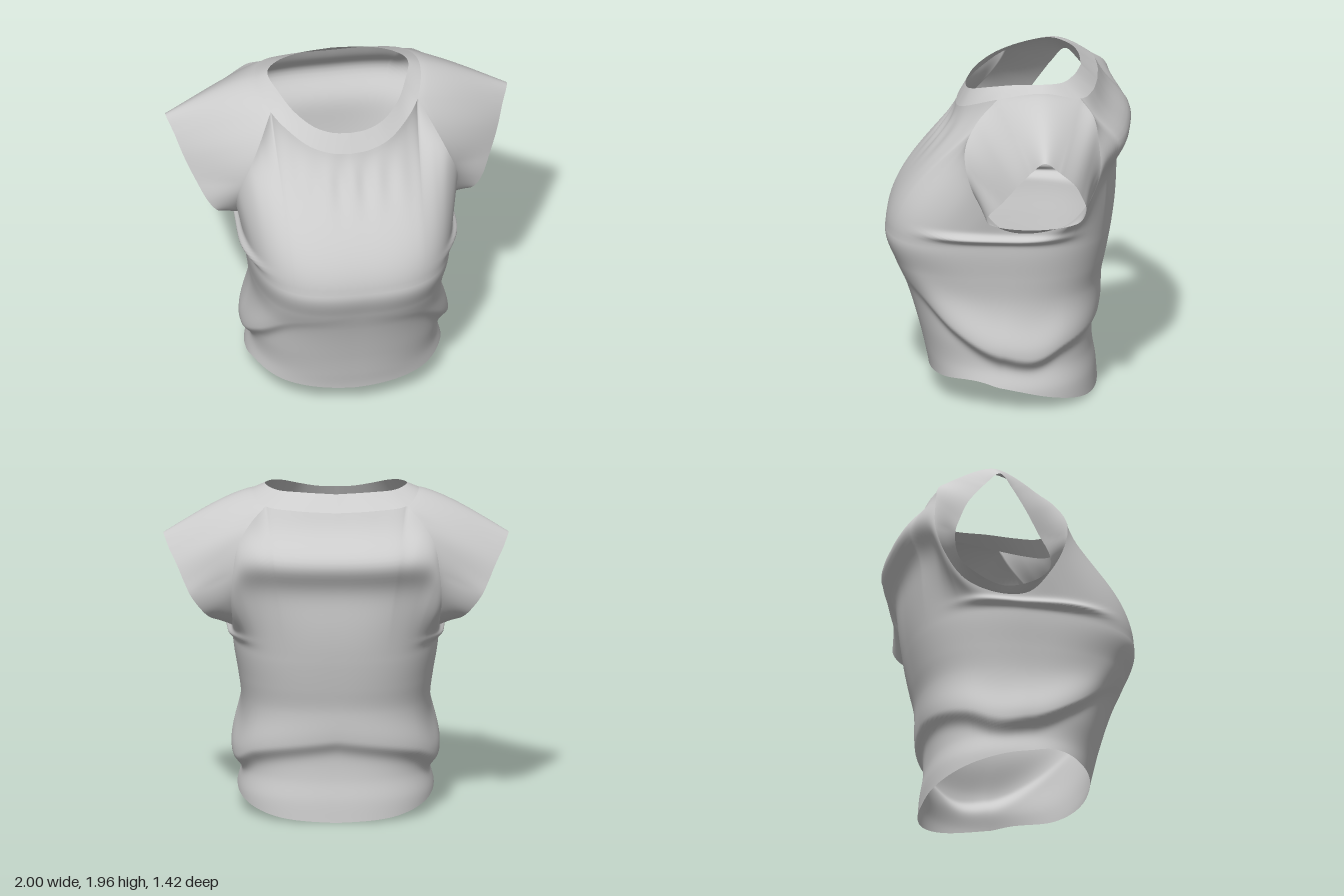
import * as THREE from 'three';

const V = (p) => new THREE.Vector3(...p);
const rad = Math.PI / 180;
const gauss = (d, w) => Math.exp(-((d / w) ** 2));

// Smooth interpolation of rows [key, value, value...]
function table(rows) {
  const stride = rows[0].length - 1;
  const f = new THREE.CubicInterpolant(rows.map((r) => r[0]), rows.flatMap((r) => r.slice(1)), stride, new Float32Array(stride));
  return (t) => Array.from(f.evaluate(t));
}
function sampleCurve(points, n) {
  const curve = new THREE.CatmullRomCurve3(points.map(V), false, 'centripetal');
  return Array.from({ length: n + 1 }, (_, i) => curve.getPoint(i / n));
}

// Surface through a closed loop of columns of points
function loft(columns, flip = false) {
  const n = columns.length, m = columns[0].length, pos = [], idx = [];
  columns.forEach((c) => c.forEach((p) => pos.push(flip ? -p.x : p.x, p.y, p.z)));
  for (let i = 0; i < n; i++) {
    for (let j = 0; j < m - 1; j++) {
      const a = i * m + j, b = ((i + 1) % n) * m + j;
      if (flip) idx.push(a, b + 1, b, a, a + 1, b + 1);
      else idx.push(a, b, b + 1, a, b + 1, a + 1);
    }
  }
  const g = new THREE.BufferGeometry();
  g.setAttribute('position', new THREE.Float32BufferAttribute(pos, 3));
  g.setIndex(idx);
  g.computeVertexNormals();
  return g;
}

// Close a left half (front centre to back centre) with its mirror image
function mirrorColumns(half) {
  const other = half.slice(1, -1).reverse().map((col) => col.map((p) => new THREE.Vector3(-p.x, p.y, p.z)));
  return [...half, ...other];
}

// Body outline by height: half width, front z, back z, front squareness
const body = table([
  [0, 0.57, 0.45, -0.52, 2.2],
  [0.12, 0.57, 0.45, -0.51, 2.2],
  [0.25, 0.54, 0.475, -0.49, 2.3],
  [0.4, 0.545, 0.51, -0.49, 2.4],
  [0.65, 0.545, 0.585, -0.53, 2.6],
  [0.8, 0.565, 0.645, -0.57, 2.8],
  [0.95, 0.59, 0.7, -0.6, 3],
  [1.05, 0.6, 0.69, -0.615, 3],
]);
// By angle from the front: hem height
const hem = table([[0, 0.13], [40, 0.15], [75, 0.17], [95, 0.125], [120, 0.07], [150, 0.02], [180, 0]]);
// By angle: height and depth of the draped waist fold
const fold = table([
  [0, 0.8, 0], [40, 0.68, 0.015], [65, 0.5, 0.045], [90, 0.35, 0.06],
  [105, 0.32, 0.06], [130, 0.4, 0.05], [180, 0.49, 0.035],
]);

function bodyPoint(deg, y) {
  const [a, zf, zb, n] = body(y), t = deg * rad;
  const c = Math.cos(t), s = Math.max(0, Math.sin(t));
  const e = 2 / (c > 0 ? n : 2.5);
  return new THREE.Vector3(a * s ** e, y, (c > 0 ? zf : zb) * Math.abs(c) ** e);
}

// Push a point outward from the body axis
function puff(p, amount) {
  const k = 1 + amount / Math.hypot(p.x, p.z);
  p.x *= k;
  p.z *= k;
}

// Neckband edges, front centre over the shoulder to back centre
const neckEdge = [
  [0, 1.82, 0.24], [0.1, 1.825, 0.228], [0.2, 1.85, 0.19], [0.3, 1.895, 0.09], [0.37, 1.935, -0.06],
  [0.41, 1.955, -0.23], [0.34, 1.945, -0.34], [0.2, 1.945, -0.4], [0, 1.94, -0.43],
];
const bandEdge = [
  [0, 1.71, 0.295], [0.11, 1.718, 0.285], [0.23, 1.75, 0.245], [0.34, 1.805, 0.155], [0.43, 1.865, 0.03],
  [0.48, 1.925, -0.23], [0.41, 1.875, -0.45], [0.23, 1.86, -0.51], [0, 1.85, -0.525],
];
const bandSamples = sampleCurve(bandEdge, 96);
const frontBand = bandSamples.slice(0, 49);
const shoulderBand = bandSamples.slice(48, 73);
const backBand = bandSamples.slice(72);

// Sleeve seam from front neckband, under the arm, to back neckband, with matching cuff points
const seam = [
  bandEdge[4], [0.51, 1.74, 0.15], [0.58, 1.6, 0.21], [0.64, 1.42, 0.18], [0.64, 1.26, 0.1],
  [0.61, 1.13, -0.02], [0.6, 1.11, -0.2], [0.6, 1.18, -0.4], [0.61, 1.33, -0.52], [0.6, 1.5, -0.575],
  [0.57, 1.67, -0.565], [0.5, 1.79, -0.535], bandEdge[6],
];
const cuff = [
  [0.96, 1.6, -0.19], [0.92, 1.5, -0.11], [0.86, 1.38, -0.02], [0.8, 1.28, 0.06], [0.75, 1.22, 0.07],
  [0.69, 1.17, 0], [0.64, 1.14, -0.17], [0.7, 1.18, -0.36], [0.76, 1.24, -0.47], [0.84, 1.35, -0.51],
  [0.88, 1.43, -0.49], [0.92, 1.52, -0.45], [0.97, 1.61, -0.37],
];
const seamAngles = [30, 44, 56, 67, 77, 86, 96, 113, 126, 134, 141, 148, 155];
const SEAM_STEPS = 96;
const seamSamples = sampleCurve(seam, SEAM_STEPS);

// One body column: hem to chest, then a curve up to the neckband or sleeve seam
function bodyColumn(deg, top) {
  const column = [], chest = 1.0, lower = 64, upper = 32;
  const y0 = hem(deg)[0], [fy, fd] = fold(deg);
  for (let j = 0; j < lower; j++) {
    const y = y0 + ((chest - y0) * j) / lower;
    const p = bodyPoint(deg, y);
    puff(p, fd * gauss(y - fy, y < fy ? 0.06 : 0.17));
    column.push(p);
  }
  const a = bodyPoint(deg, chest), len = a.distanceTo(top);
  const ta = a.clone().sub(bodyPoint(deg, chest - 0.05)).normalize().multiplyScalar(len);
  const c = Math.cos(deg * rad);
  const tb = top.clone().sub(a).multiplyScalar(0.9);
  tb.z += len * c * (c < 0 ? -4 * (top.z + 0.6) : 0.25);
  for (let j = 0; j <= upper; j++) {
    const s = j / upper, s2 = s * s, s3 = s2 * s;
    const p = a.clone().multiplyScalar(2 * s3 - 3 * s2 + 1)
      .addScaledVector(ta, s3 - 2 * s2 + s)
      .addScaledVector(top, 3 * s2 - 2 * s3)
      .addScaledVector(tb, s3 - s2);
    const side = Math.sin(deg * rad) ** 10, env = 4 * s * (1 - s);
    // Underarm crease, loose upper back, and gathers below the neckline
    puff(p, 0.06 * side * gauss(p.y - 1.065, 0.025) * (1 - s));
    if (c < 0) p.z -= 0.125 * gauss(p.y - 1.6, 0.14) * env * -c;
    else p.z += 0.014 * Math.cos(p.x * 42) * gauss(p.y - 1.58, 0.13) * env * c * gauss(p.x, 0.28);
    column.push(p);
  }
  return column;
}

function bodyGeometry() {
  const half = frontBand.map((p, i) => bodyColumn((30 * i) / 48, p));
  seamSamples.forEach((p, i) => {
    if (i === 0) return;
    const t = (i / SEAM_STEPS) * 12, k = Math.min(11, Math.floor(t));
    half.push(bodyColumn(THREE.MathUtils.lerp(seamAngles[k], seamAngles[k + 1], t - k), p));
  });
  backBand.forEach((p, i) => i && half.push(bodyColumn(155 + (25 * i) / 24, p)));
  return loft(mirrorColumns(half));
}

function neckbandGeometry() {
  const edge = sampleCurve(neckEdge, 96);
  const half = bandSamples.map((p, i) => [0, 0.25, 0.5, 0.75, 1].map((s) => p.clone().lerp(edge[i], s)));
  return loft(mirrorColumns(half));
}

// Cap sleeve from the seam and shoulder out to the cuff
function sleeveGeometry(flip) {
  const inner = [...seamSamples, ...shoulderBand.slice(1, -1).reverse()];
  const cuffTop = sampleCurve([cuff[12], [1, 1.68, -0.28], cuff[0]], 24).slice(1, -1);
  const outer = [...sampleCurve(cuff, SEAM_STEPS), ...cuffTop];
  const c0 = V([0.52, 1.5, -0.2]), c1 = V([0.83, 1.36, -0.22]);
  return loft(inner.map((p, i) => {
    const chord = p.distanceTo(outer[i]);
    return Array.from({ length: 25 }, (_, j) => {
      const s = j / 24, q = p.clone().lerp(outer[i], s);
      const out = q.clone().sub(c0.clone().lerp(c1, s));
      out.x = 0;
      out.normalize();
      // Rounded over the shoulder, slightly drawn in at front and back
      const amount = chord * (0.1 * Math.abs(out.y) - 0.05);
      return q.addScaledVector(out, amount * Math.sin(Math.PI * s ** 0.75));
    });
  }), flip);
}

export function createModel() {
  const fabric = new THREE.MeshStandardMaterial({ color: 0xcccccc, side: THREE.DoubleSide });
  fabric.name = 'grey fabric';
  const group = new THREE.Group();
  group.name = 'shirt';
  const add = (name, geometry) => {
    const mesh = new THREE.Mesh(geometry, fabric);
    mesh.name = name;
    group.add(mesh);
  };
  add('shirtBody', bodyGeometry());
  add('neckband', neckbandGeometry());
  add('leftSleeve', sleeveGeometry(false));
  add('rightSleeve', sleeveGeometry(true));
  return group;
}
